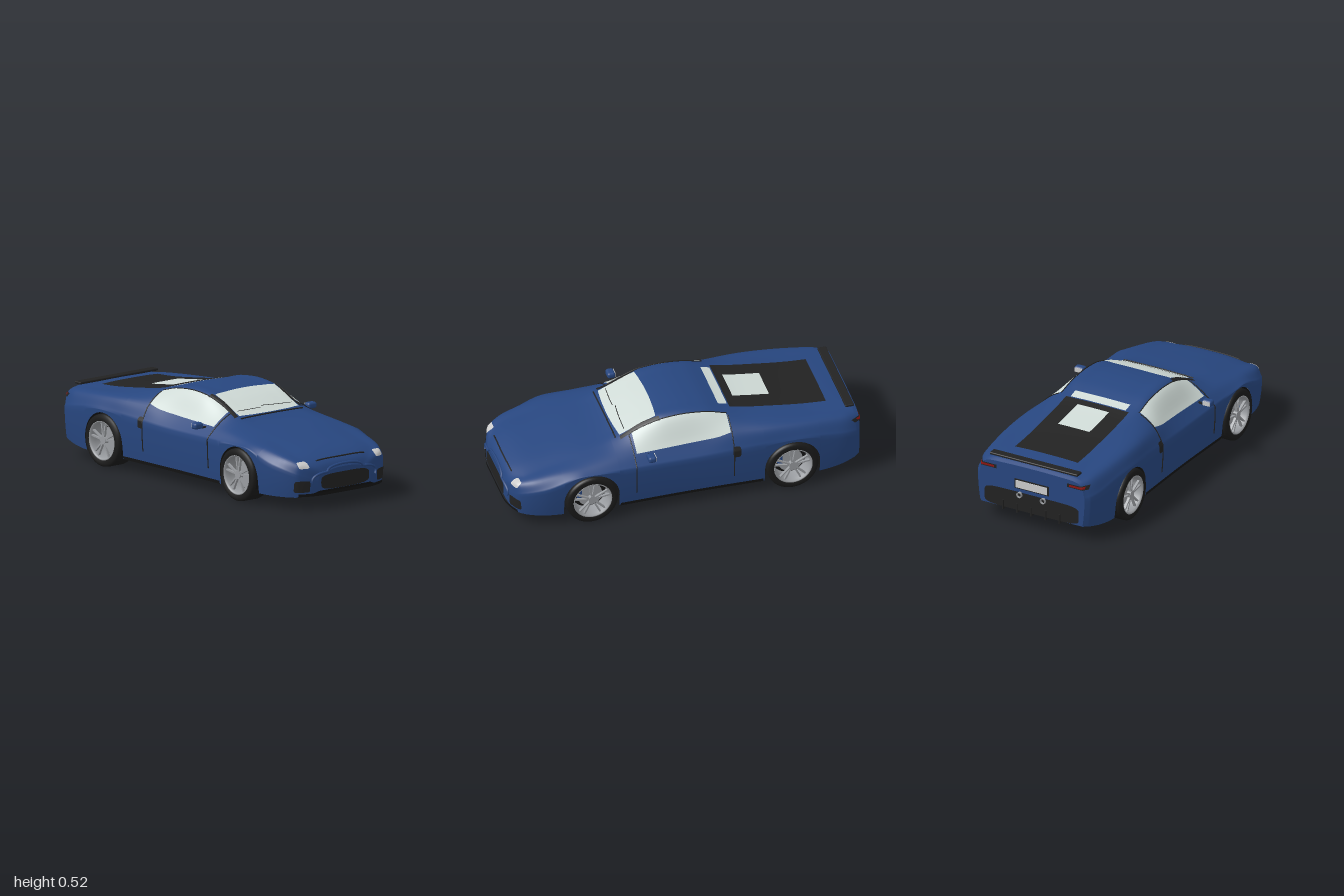
import * as THREE from 'three';
import { RoundedBoxGeometry } from 'three/addons/geometries/RoundedBoxGeometry.js';

const paint = (color) => new THREE.MeshStandardMaterial({ color, side: THREE.DoubleSide });
const BLUE = paint(0x27467f), DARK = paint(0x222222), TYRE = paint(0x1a1a1a), BLACK = paint(0x141414);
const GLASS = paint(0xcfdad6), SILVER = paint(0x999ca0), LAMP = paint(0xcccccc), RED = paint(0x8c1410);

// Smooth interpolation through [z, value] pairs without overshoot
function track(p) {
  const s = p.slice(1).map((q, i) => (q[1] - p[i][1]) / (q[0] - p[i][0]));
  const m = p.map((_, i) => {
    const a = s[i - 1] ?? s[i], b = s[i] ?? s[i - 1];
    return a * b <= 0 ? 0 : (2 * a * b) / (a + b);
  });
  return (z) => {
    let i = 0;
    while (i < p.length - 2 && z > p[i + 1][0]) i++;
    const h = p[i + 1][0] - p[i][0], t = Math.min(1, Math.max(0, (z - p[i][0]) / h)), u = 1 - t;
    return u * u * (1 + 2 * t) * p[i][1] + t * t * (3 - 2 * t) * p[i + 1][1] + h * t * u * (u * m[i] - t * m[i + 1]);
  };
}

// Body lines along the length
const TAIL = -0.985, NOSE = 0.997;
const crown = track([[TAIL, .37], [-.95, .385], [-.7, .405], [-.5, .43], [-.35, .452], [-.25, .475], [-.12, .51], [0, .52], [.1, .513],
  [.2, .485], [.3, .442], [.37, .408], [.45, .385], [.6, .36], [.75, .33], [.88, .3], [.95, .27], [.98, .245], [NOSE, .215]]);
const edgeX = track([[TAIL, .28], [-.8, .25], [-.3, .24], [.1, .235], [.3, .225], [.37, .23], [.6, .25], [.9, .25], [.98, .17], [NOSE, .12]]);
const edgeDrop = track([[TAIL, .01], [-.3, .008], [0, .012], [.3, .012], [.37, .006], [.6, .01], [.9, .015], [NOSE, .012]]);
const beltX = track([[TAIL, .315], [-.9, .34], [-.5, .36], [-.27, .345], [0, .33], [.3, .335], [.6, .345], [.85, .33], [.95, .29], [.98, .235], [NOSE, .17]]);
const beltY = track([[TAIL, .34], [-.9, .365], [-.5, .395], [-.27, .4], [-.1, .385], [.3, .365], [.6, .335], [.85, .285], [.95, .25], [.98, .225], [NOSE, .195]]);
const wideX = track([[TAIL, .335], [-.95, .365], [-.85, .39], [-.6, .403], [0, .395], [.5, .402], [.7, .396], [.8, .385], [.88, .36], [.95, .315], [.98, .255], [NOSE, .19]]);
const wideY = track([[TAIL, .27], [-.6, .32], [0, .3], [.6, .31], [.8, .25], [.95, .2], [NOSE, .16]]);
const floorY = track([[TAIL, .1], [-.75, .067], [.7, .067], [.95, .07], [.985, .085], [NOSE, .1]]);

const WHEELS = [0.56, -0.585], ARCH = 0.157, AXLE = 0.147;
const archY = (z) => {
  const c = WHEELS.find((w) => Math.abs(z - w) < ARCH);
  return c === undefined ? floorY(z) : AXLE + Math.sqrt(ARCH ** 2 - (z - c) ** 2);
};
const lowerX = (y, z) => wideX(z) * (1 - 0.04 * ((wideY(z) - y) / (wideY(z) - floorY(z))) ** 2);

// Half section from the crown to the widest line
const cache = new Map();
function upper(z) {
  if (!cache.has(z)) {
    const c = crown(z), x = edgeX(z), d = edgeDrop(z);
    const pts = [[-.6 * x, c - .25 * d], [0, c], [.6 * x, c - .25 * d], [x, c - d], [beltX(z), beltY(z)], [wideX(z), wideY(z)]];
    const curve = new THREE.CatmullRomCurve3(pts.map(([a, b]) => new THREE.Vector3(a, b, 0)));
    cache.set(z, Array.from({ length: 29 }, (_, i) => curve.getPoint(0.2 + 0.8 * i / 28)));
  }
  return cache.get(z);
}
function halfX(y, z) {
  if (y <= wideY(z)) return lowerX(y, z);
  const p = upper(z);
  let i = p.length - 1;
  while (i > 0 && p[i - 1].y < y) i--;
  if (i === 0) return 0;
  return THREE.MathUtils.lerp(p[i].x, p[i - 1].x, (y - p[i].y) / (p[i - 1].y - p[i].y || 1));
}
const inside = (x, y, z) => z >= TAIL && z <= NOSE && y < crown(z) && Math.abs(x) < halfX(y, z);
function bisect(lo, hi, test) {
  for (let i = 0; i < 22; i++) { const m = (lo + hi) / 2; if (test(m)) lo = m; else hi = m; }
  return lo;
}
// Projections of a 2D point onto the body skin
const LIFT = 0.004;
const top = (x, z) => [x, bisect(wideY(z), 0.6, (y) => inside(x, y, z)) + LIFT, z];
const side = (s) => (z, y) => [s * (halfX(y, z) + LIFT), y + 0.001, z];
const front = (x, y) => [x, y, bisect(0, 1, (z) => inside(x, y, z)) + LIFT];
const rear = (x, y) => [x, y, bisect(0, -1, (z) => inside(x, y, z)) - LIFT];

// Grid surface; rows of equal length
function skin(rows) {
  const n = rows[0].length, idx = [];
  for (let i = 0; i < rows.length - 1; i++) for (let j = 0; j < n - 1; j++) {
    const a = i * n + j, b = a + n;
    idx.push(a, b, a + 1, b, b + 1, a + 1);
  }
  const g = new THREE.BufferGeometry();
  g.setAttribute('position', new THREE.Float32BufferAttribute(rows.flat(2), 3));
  g.setIndex(idx);
  g.computeVertexNormals();
  return g;
}

export function createModel() {
  const car = new THREE.Group();
  car.name = 'sportsCar';
  const add = (name, geo, mat, x = 0, y = 0, z = 0, parent = car) => {
    const m = new THREE.Mesh(geo, mat);
    m.name = name; m.position.set(x, y, z); parent.add(m);
    return m;
  };
  // Panel laid on the skin; fn maps u, v in [-1, 1] to the projected plane
  const panel = (name, mat, proj, fn, n = 16) => {
    const rows = Array.from({ length: n + 1 }, (_, i) => Array.from({ length: n + 1 }, (_, j) => proj(...fn(2 * j / n - 1, 2 * i / n - 1))));
    const g = skin(rows), m = g.attributes.normal;
    const flip = proj === top ? m.getY(150) < 0 : proj === front ? m.getZ(150) < 0 : proj === rear ? m.getZ(150) > 0 : m.getX(150) * rows[8][8][0] < 0;
    if (flip) { g.setIndex(Array.from(g.index.array).reverse()); g.computeVertexNormals(); }
    return add(name, g, mat);
  };
  const rect = (cx, cy, hx, hy) => (u, v) => [cx + u * hx, cy + v * hy];
  const round = (cx, cy, hx, hy, e = 5) => (u, v) => {
    const r = Math.max(Math.abs(u), Math.abs(v)), k = Math.hypot(u, v) || 1, c = u / k, s = v / k;
    const q = r / (Math.abs(c) ** e + Math.abs(s) ** e || 1) ** (1 / e);
    return [cx + hx * c * q, cy + hy * s * q];
  };
  const line = (name, mat, proj, pts, r = 0.003, closed = false) => {
    const path = new THREE.CatmullRomCurve3(pts.map((p) => new THREE.Vector3(...proj(...p))), closed);
    return add(name, new THREE.TubeGeometry(path, 40, r, 6, closed), mat);
  };
  const span = (n, f) => Array.from({ length: n + 1 }, (_, i) => f(i / n));

  // Stations along the body, closer together at arches and ends
  let zs = span(70, (t) => TAIL + t * (NOSE - TAIL)).filter((z) => WHEELS.every((c) => Math.abs(z - c) > ARCH + 0.008));
  for (const c of WHEELS) zs.push(c - ARCH - 0.0005, c + ARCH + 0.0005, ...span(24, (t) => c + (ARCH - 1e-5) * Math.cos(Math.PI * t)));
  zs.push(...[.955, .962, .975, .982, .988, .992, -.978, -.965]);
  zs.sort((a, b) => a - b);

  // Body shell and end caps
  const section = (z) => {
    const half = upper(z).map((p) => [p.x, p.y, z]);
    for (const t of span(8, (v) => v).slice(1)) {
      const y = THREE.MathUtils.lerp(wideY(z), archY(z), t);
      half.push([lowerX(y, z), y, z]);
    }
    return [...half.slice(1).reverse().map(([x, y]) => [-x, y, z]), ...half];
  };
  add('bodyShell', skin(zs.map(section)), BLUE);
  for (const z of [TAIL, NOSE]) {
    const ring = section(z), hub = ring.map(() => [0, floorY(z), z]);
    add(z > 0 ? 'noseCap' : 'tailCap', skin(z > 0 ? [ring, hub] : [hub, ring]), BLUE);
  }
  // Flat floor, narrowed between the wheels
  add('floor', skin(zs.map((z) => {
    const w = archY(z) > floorY(z) + 1e-6 ? 0.27 : lowerX(floorY(z), z), y = floorY(z);
    return [[w, y, z], [0, y, z], [-w, y, z]];
  })), BLACK);

  // Glass and cabin trim
  panel('windscreen', GLASS, top, (u, v) => [u * 0.212, 0.25 + v * 0.115 - 0.012 * u * u * v]);
  panel('rearWindow', GLASS, top, rect(0, -0.247, 0.175, 0.026));
  panel('engineCover', DARK, top, rect(0, -0.555, 0.2, 0.275));
  panel('engineWindow', GLASS, (x, z) => { const p = top(x, z); p[1] += 0.004; return p; }, rect(0, -0.43, 0.1, 0.105));
  line('cowlSeam', DARK, top, span(10, (t) => [-0.22 + 0.44 * t, 0.377]), 0.004);
  line('leftWiper', DARK, front, span(6, (t) => [-0.02 + 0.21 * t, 0.44 - 0.01 * t]));
  line('rightWiper', DARK, front, span(6, (t) => [-0.195 + 0.16 * t, 0.432 + 0.002 * t]));
  const belt = track([[-.25, .402], [-.15, .382], [0, .372], [.3, .362]]);
  const gutter = (z) => crown(z) - edgeDrop(z) - 0.002;

  for (const s of [-1, 1]) {
    const n = s > 0 ? 'left' : 'right', flank = side(s);
    panel(n + 'Pillar', DARK, top, (u, v) => [s * (0.222 + u * 0.012 + 0.012 * v * v), 0.242 + v * 0.112]);
    panel(n + 'SideWindow', GLASS, flank, (u, v) => {
      const z = 0.022 + 0.268 * u;
      return [z, THREE.MathUtils.lerp(belt(z), gutter(z), (v + 1) / 2)];
    });
    line(n + 'RoofSeam', DARK, flank, span(16, (t) => [0.3 - 0.55 * t, gutter(0.3 - 0.55 * t)]));
    line(n + 'FrontDoorSeam', DARK, flank, span(12, (t) => [0.306, 0.14 + 0.285 * t]));
    line(n + 'RearDoorSeam', DARK, flank, span(12, (t) => [-0.252, 0.14 + 0.32 * t]));
    panel(n + 'SideIntake', DARK, flank, round(-0.268, 0.3, 0.022, 0.032, 4));
    panel(n + 'Sill', BLACK, flank, rect(-0.012, 0.075, 0.408, 0.009));
    panel(n + 'Headlight', LAMP, front, round(s * 0.267, 0.247, 0.03, 0.017));
    panel(n + 'FrontIntake', DARK, front, round(s * 0.28, 0.13, 0.04, 0.032, 7));
    panel(n + 'TailLightHousing', DARK, rear, rect(s * 0.285, 0.333, 0.06, 0.011));
    const red = panel(n + 'TailLight', RED, rear, rect(s * 0.285, 0.334, 0.046, 0.006));
    red.position.z = -0.003;
    // Door mirror
    add(n + 'Mirror', new RoundedBoxGeometry(0.062, 0.036, 0.045, 4, 0.014), BLUE, s * 0.407, 0.368, 0.225);
    add(n + 'MirrorGlass', new THREE.BoxGeometry(0.046, 0.024, 0.003), LAMP, s * 0.407, 0.368, 0.202);
    add(n + 'MirrorArm', new THREE.BoxGeometry(0.06, 0.008, 0.014), DARK, s * 0.36, 0.353, 0.225);
    // Exhaust pipe
    const pipe = new THREE.LatheGeometry([[.001, -.01], [.012, -.01], [.012, .02], [.017, .02], [.017, -.03]].map((p) => new THREE.Vector2(...p)), 20);
    add(n + 'Exhaust', pipe.rotateX(-Math.PI / 2), SILVER, s * 0.075, 0.198, -0.98);
  }

  // Nose details
  panel('grille', DARK, front, round(0, 0.145, 0.172, 0.043, 4));
  line('bumperRidge', BLUE, front, span(28, (t) => round(0, 0.16, 0.228, 0.072, 3)(Math.cos(Math.PI * (1.15 * t - 0.075)), Math.sin(Math.PI * (1.15 * t - 0.075)))), 0.007);
  line('bonnetSeam', DARK, front, span(12, (t) => [-0.172 + 0.344 * t, 0.266 - 0.006 * (2 * t - 1) ** 4]), 0.004);
  panel('frontLip', BLACK, front, (u, v) => [u * 0.3, 0.081 + v * 0.008]);

  // Tail details
  panel('rearDiffuserPanel', DARK, rear, round(0, 0.157, 0.3, 0.056, 6));
  add('plateFrame', new THREE.BoxGeometry(0.22, 0.056, 0.006), DARK, 0, 0.262, -0.987);
  add('plate', new THREE.BoxGeometry(0.2, 0.044, 0.006), LAMP, 0, 0.262, -0.99);
  add('spoiler', new RoundedBoxGeometry(0.56, 0.014, 0.05, 2, 0.005), DARK, 0, 0.393, -0.945);
  for (let i = -2; i <= 2; i++) add('diffuserFin', new THREE.BoxGeometry(0.008, 0.055, 0.07), DARK, i * 0.09, 0.115, -0.963);

  // Wheels with twin-spoke rims, and dark wheel wells
  const lathe = (p) => new THREE.LatheGeometry(p.map((q) => new THREE.Vector2(...q)), 48).rotateZ(-Math.PI / 2);
  const tyre = lathe([[.1, -.06], [.108, -.065], [.135, -.065], [.145, -.056], [.147, -.045], [.147, .045], [.145, .056], [.135, .064], [.112, .066], [.106, .056]]);
  const rim = lathe([[.108, .055], [.111, .063], [.104, .063], [.099, .052], [.096, .03], [.096, -.055]]);
  const disc = (r, w) => new THREE.CylinderGeometry(r, r, w, 32).rotateZ(Math.PI / 2);
  for (const c of WHEELS) for (const s of [-1, 1]) {
    const wheel = new THREE.Group();
    wheel.name = (c > 0 ? 'front' : 'rear') + (s > 0 ? 'Left' : 'Right') + 'Wheel';
    wheel.position.set(s * 0.346, AXLE, c);
    wheel.rotation.y = s > 0 ? 0 : Math.PI;
    car.add(wheel);
    add('tyre', tyre, TYRE, 0, 0, 0, wheel);
    add('rim', rim, SILVER, 0, 0, 0, wheel);
    add('rimBack', disc(0.098, 0.01), BLACK, -0.03, 0, 0, wheel);
    add('brakeDisc', disc(0.07, 0.01), SILVER, 0, 0, 0, wheel);
    add('caliper', new RoundedBoxGeometry(0.024, 0.06, 0.026, 2, 0.006), BLUE, 0.008, 0.02, 0.062 * s, wheel);
    add('hub', disc(0.022, 0.024), SILVER, 0.044, 0, 0, wheel);
    for (let k = 0; k < 10; k++) {
      const spoke = new THREE.BoxGeometry(0.014, 0.088, 0.009).translate(0, 0.058, 0);
      const m = add('spoke', spoke, SILVER, 0.046, 0, 0, wheel);
      m.rotation.x = Math.floor(k / 2) * Math.PI * 0.4 + (k % 2 ? 0.17 : -0.17);
    }
    const well = new THREE.CylinderGeometry(ARCH, ARCH, 0.125, 32, 1, true, -0.12 * Math.PI, 1.24 * Math.PI).rotateZ(Math.PI / 2);
    add('wheelWell', well, BLACK, s * 0.333, AXLE, c);
    add('wheelWellWall', new THREE.CircleGeometry(ARCH, 32, -0.12 * Math.PI, 1.24 * Math.PI).rotateY(Math.PI / 2), BLACK, s * 0.271, AXLE, c);
  }
  return car;
}
